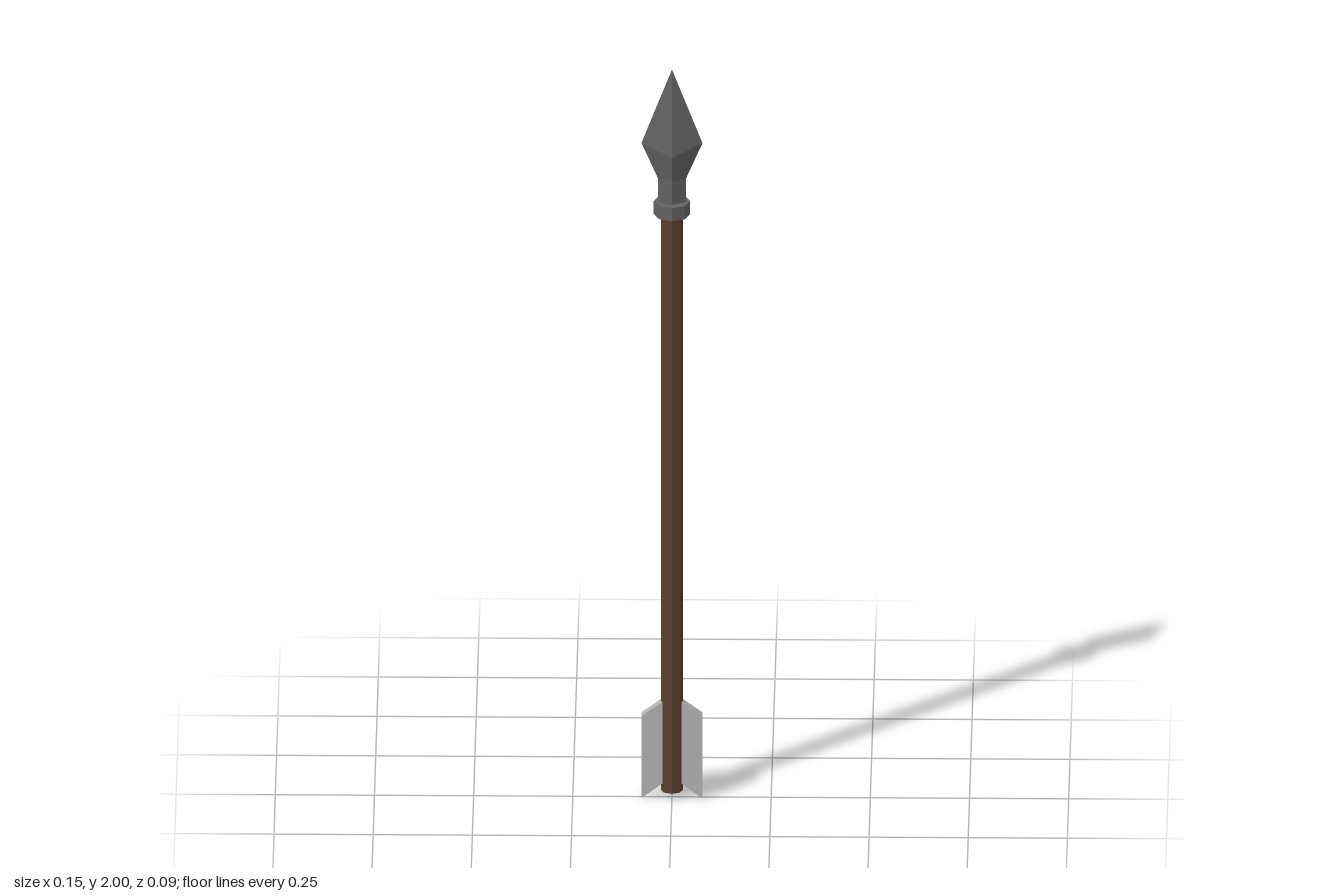
import * as THREE from 'three';

const material = (color) => new THREE.MeshStandardMaterial({ color, flatShading: true });

// Four-sided loft: each ring is [y, half width, half depth]
function diamondLoft(rings, tipY) {
  const positions = [];
  const corner = ([y, w, d], i) => [[w, y, 0], [0, y, -d], [-w, y, 0], [0, y, d]][i % 4];
  const tri = (a, b, c) => positions.push(...a, ...b, ...c);
  for (let i = 0; i < 4; i++) {
    for (let r = 0; r < rings.length - 1; r++) {
      const a = corner(rings[r], i), b = corner(rings[r], i + 1);
      const c = corner(rings[r + 1], i + 1), d = corner(rings[r + 1], i);
      tri(a, b, c);
      tri(a, c, d);
    }
    const last = rings[rings.length - 1];
    tri(corner(last, i), corner(last, i + 1), [0, tipY, 0]);
    tri(corner(rings[0], i + 1), corner(rings[0], i), [0, rings[0][0], 0]);
  }
  const geometry = new THREE.BufferGeometry();
  geometry.setAttribute('position', new THREE.Float32BufferAttribute(positions, 3));
  // The side corners of the widest ring sit higher than its ridge corners
  const p = geometry.attributes.position;
  for (let i = 0; i < p.count; i++) {
    if (Math.abs(p.getX(i)) > 0.07) p.setY(i, p.getY(i) + 0.028);
  }
  geometry.computeVertexNormals();
  return geometry;
}

export function createModel() {
  const group = new THREE.Group();
  const wood = material(0x5c3f2e);
  const metal = material(0x626262);
  const feather = material(0xb4b4b4);

  const add = (name, geometry, mat, x = 0, y = 0, z = 0) => {
    const mesh = new THREE.Mesh(geometry, mat);
    mesh.name = name;
    mesh.position.set(x, y, z);
    group.add(mesh);
    return mesh;
  };

  // Octagonal wooden shaft
  add('shaft', new THREE.CylinderGeometry(0.028, 0.028, 1.59, 8), wood, 0, 0.815, 0);

  // Metal collar under the head
  add('collar', new THREE.CylinderGeometry(0.046, 0.046, 0.036, 8), metal, 0, 1.618, -0.001);

  // Diamond-section spearhead with a straight neck
  add('spearhead', diamondLoft([
    [1.62, 0.035, 0.019],
    [1.70, 0.035, 0.019],
    [1.77, 0.077, 0.033],
  ], 2), metal, 0, 0, 0.005);

  // A swept fin on each side of the shaft's foot
  for (const side of [1, -1]) {
    const points = [[0.015, 0.048], [0.077, 0], [0.077, 0.226], [0.015, 0.272]];
    const shape = new THREE.Shape(points.map(([x, y]) => new THREE.Vector2(side * x, y)));
    const geometry = new THREE.ExtrudeGeometry(shape, { depth: 0.025, bevelEnabled: false });
    add(side > 0 ? 'leftFin' : 'rightFin', geometry, feather, 0, 0, -0.0145);
  }

  return group;
}
